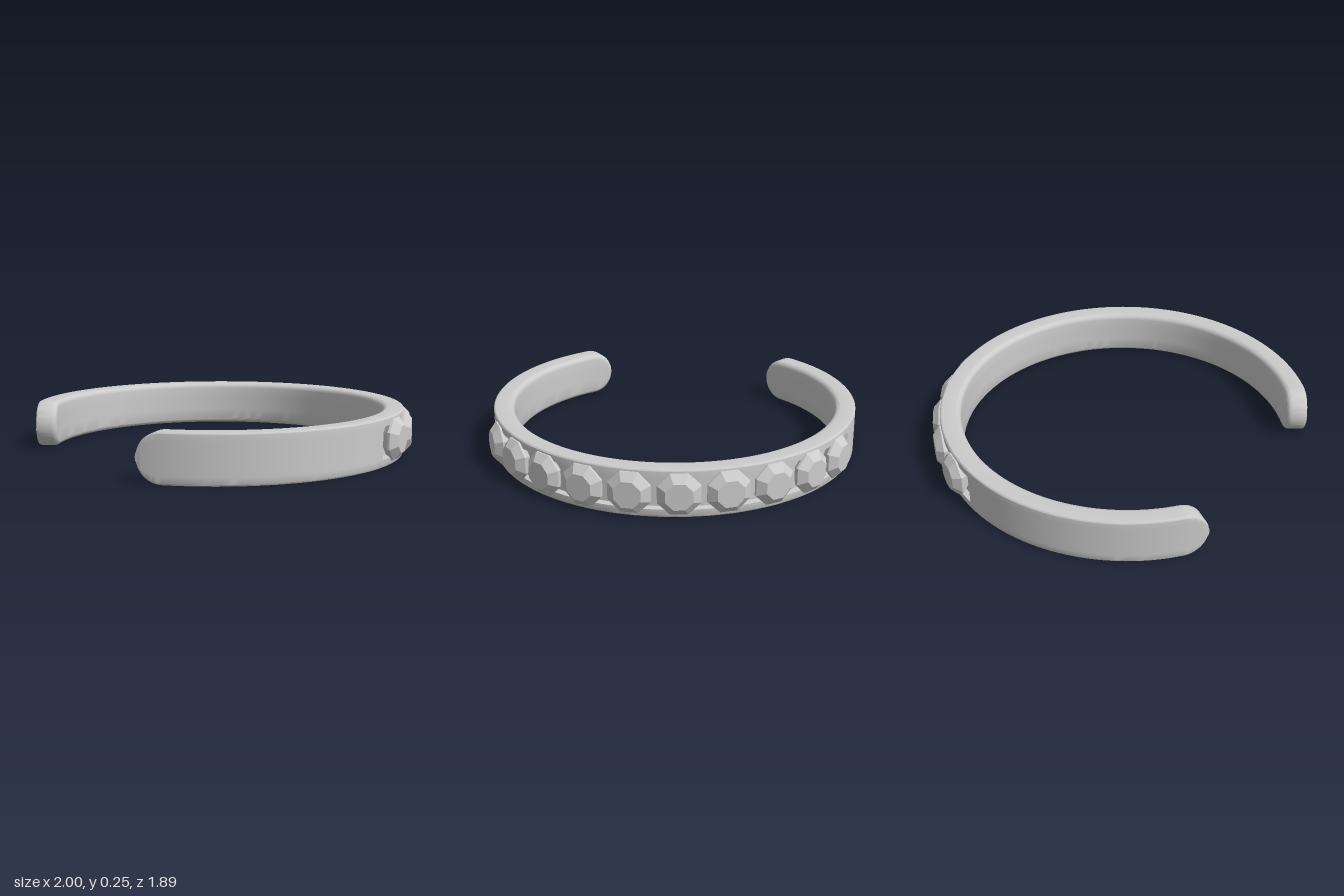
import * as THREE from 'three';
import { toCreasedNormals } from 'three/addons/utils/BufferGeometryUtils.js';

const H = 0.125;            // half the band height
const CZ = 0.095;           // z of the ring centre
const R_OUT = 1, R_IN = 0.888;
const CAP = 2.437;          // angle from the back where the rounded tips begin
const SHIFT = -0.015;       // the gem row sits slightly off centre
const CHANNEL = 1.235;      // half angle of the gem channel
const DEPTH = 0.032;

// Cross-section points: r = radius, v = share of the half height, e = inset from the rim, c = channel floor
function bandSection() {
  const half = [];
  const floor = 0.66;
  half.push({ r: R_OUT, v: floor - 0.03, e: 0, c: 1 }, { r: R_OUT, v: floor, e: 0 });
  const round = (r, dir, rad, from, to) => {
    for (let i = 0; i <= 5; i++) {
      const a = from + (to - from) * i / 5;
      half.push({ r: r + dir * rad * (1 - Math.sin(a)), v: 1, e: rad * (1 - Math.cos(a)) });
    }
  };
  round(R_OUT, -1, 0.01, Math.PI / 2, 0);
  round(R_IN, 1, 0.03, 0, Math.PI / 2);
  half.push({ r: R_IN, v: 0.4, e: 0.03 });
  const lower = half.map(p => ({ ...p, v: -p.v })).reverse();
  return [...half, ...lower];
}

// Stations along the band: rounded tip, body with channel, rounded tip
function bandStations() {
  const list = [];
  const tip = 14, body = 120;
  for (let i = 0; i < tip; i++) list.push({ a: -CAP, phi: -Math.PI / 2 * (1 - i / tip), d: 0 });
  const angles = [];
  for (let i = 0; i <= body; i++) angles.push(-CAP + 2 * CAP * i / body);
  for (const s of [-1, 1]) angles.push(SHIFT + s * CHANNEL, SHIFT + s * (CHANNEL - 0.015));
  angles.sort((p, q) => p - q);
  for (const a of angles) {
    const inside = Math.abs(a - SHIFT) < CHANNEL - 0.0149;
    list.push({ a, phi: 0, d: inside ? DEPTH : 0 });
  }
  for (let i = 1; i <= tip; i++) list.push({ a: CAP, phi: Math.PI / 2 * i / tip, d: 0 });
  return list;
}

function bandGeometry() {
  const section = bandSection(), stations = bandStations();
  const n = section.length, pos = [], index = [];
  for (const s of stations) {
    for (const p of section) {
      const h = H - p.e;
      const a = s.a + h * Math.sin(s.phi) / 0.95;
      const r = p.r - (p.c ? s.d : 0);
      pos.push(r * Math.sin(a), H + h * p.v * Math.cos(s.phi), CZ - r * Math.cos(a));
    }
  }
  for (let i = 0; i < stations.length - 1; i++) {
    for (let j = 0; j < n; j++) {
      const k = (j + 1) % n;
      const a = i * n + j, b = i * n + k, c = a + n, d = b + n;
      index.push(a, b, c, b, d, c);
    }
  }
  const g = new THREE.BufferGeometry();
  g.setAttribute('position', new THREE.Float32BufferAttribute(pos, 3));
  g.setIndex(index);
  return toCreasedNormals(g, 0.7);
}

// Eight-sided cut stone, its table facing outward (-z)
function gemGeometry() {
  const profile = [[0, -0.045], [0.08, -0.04], [0.115, -0.004], [0.115, 0.008], [0.073, 0.045], [0, 0.045]];
  const g = new THREE.LatheGeometry(profile.map(p => new THREE.Vector2(...p)), 8);
  g.rotateY(Math.PI / 8);
  g.rotateX(-Math.PI / 2);
  return g;
}

export function createModel() {
  const model = new THREE.Group();
  model.name = 'cuffBracelet';

  // Open band with rounded tips and a recessed channel at the back
  const band = new THREE.Mesh(bandGeometry(), new THREE.MeshStandardMaterial({ color: 0xcccccc }));
  band.name = 'band';
  model.add(band);

  // Row of ten stones set along the channel
  const gems = new THREE.Group();
  gems.name = 'gems';
  const geometry = gemGeometry();
  const material = new THREE.MeshStandardMaterial({ color: 0xcccccc, flatShading: true });
  const step = THREE.MathUtils.degToRad(13.79);
  for (let i = 0; i < 10; i++) {
    const a = SHIFT + (i - 4.5) * step;
    const gem = new THREE.Mesh(geometry, material);
    gem.name = 'gem' + (i + 1);
    gem.position.set(Math.sin(a), H + 0.003, CZ - Math.cos(a));
    gem.rotation.y = -a;
    gems.add(gem);
  }
  model.add(gems);
  return model;
}
